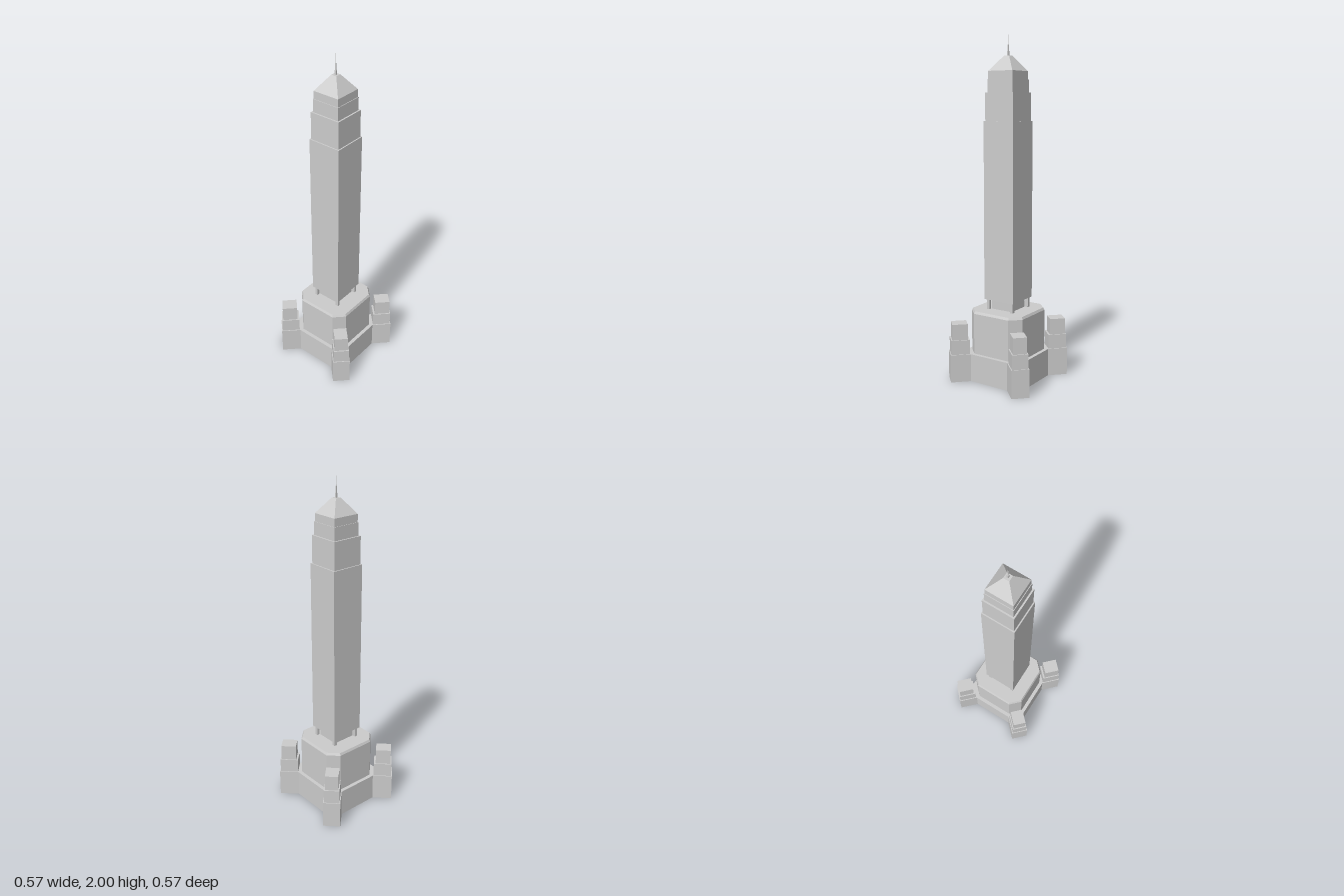
import * as THREE from 'three';

const material = new THREE.MeshStandardMaterial({ color: 0xcccccc, flatShading: true });

// Block from y0 to y1, w wide (x) and d deep (z), centred on x, z
function block(name, y0, y1, w, d = w, x = 0, z = 0) {
  const mesh = new THREE.Mesh(new THREE.BoxGeometry(w, y1 - y0, d), material);
  mesh.name = name;
  mesh.position.set(x, (y0 + y1) / 2, z);
  return mesh;
}

// Square frustum with half-widths r0 (bottom) and r1 (top)
function squareFrustum(name, y0, y1, r0, r1) {
  const geometry = new THREE.CylinderGeometry(r1 * Math.SQRT2, r0 * Math.SQRT2, y1 - y0, 4);
  geometry.rotateY(Math.PI / 4);
  const mesh = new THREE.Mesh(geometry, material);
  mesh.name = name;
  mesh.position.y = (y0 + y1) / 2;
  return mesh;
}

// Square of half-width r with corners cut off at c
function cutSquare(r, c) {
  return new THREE.Shape([
    [r, -c], [r, c], [c, r], [-c, r], [-r, c], [-r, -c], [-c, -r], [c, -r],
  ].map(([x, y]) => new THREE.Vector2(x, y)));
}

export function createModel() {
  const model = new THREE.Group();
  model.name = 'tower';

  // Square plinth
  model.add(block('plinth', 0, 0.165, 0.402));

  // Octagonal podium with a bevelled top edge
  const podiumGeometry = new THREE.ExtrudeGeometry(cutSquare(0.172, 0.117), {
    depth: 0.25, bevelEnabled: true, bevelThickness: 0.014, bevelSize: 0.007, bevelSegments: 1,
  });
  podiumGeometry.rotateX(-Math.PI / 2);
  const podium = new THREE.Mesh(podiumGeometry, material);
  podium.name = 'podium';
  podium.position.y = 0.156;
  model.add(podium);

  // Stepped buttresses on the diagonals: bottom, top, inner and outer reach, width
  const steps = [
    [0, 0.165, 0.16, 0.351, 0.103],
    [0.165, 0.25, 0.237, 0.346, 0.092],
    [0.25, 0.345, 0.248, 0.339, 0.079],
  ];
  for (let i = 0; i < 4; i++) {
    const buttress = new THREE.Group();
    buttress.name = 'cornerButtress';
    for (const [y0, y1, inner, outer, width] of steps) {
      buttress.add(block('buttressStep', y0, y1, outer - inner, width, (inner + outer) / 2));
    }
    buttress.rotation.y = Math.PI / 4 + i * Math.PI / 2;
    model.add(buttress);
  }

  // Recessed neck with a post under each shaft corner
  model.add(block('neck', 0.42, 0.48, 0.14));
  for (const x of [-1, 1]) {
    for (const z of [-1, 1]) {
      model.add(block('neckPost', 0.42, 0.48, 0.018, 0.018, x * 0.082, z * 0.082));
    }
  }

  // Shaft, stepping in toward the top
  const tiers = [
    [0.48, 1.52, 0.202], [1.52, 1.68, 0.188], [1.68, 1.755, 0.17], [1.755, 1.8, 0.163],
  ];
  for (const [y0, y1, width] of tiers) model.add(block('shaftTier', y0, y1, width));

  // Pyramid roof and needle
  model.add(squareFrustum('roof', 1.8, 1.885, 0.0815, 0.017));
  model.add(block('needleBase', 1.885, 1.91, 0.01));
  model.add(block('needle', 1.91, 1.947, 0.005));
  model.add(squareFrustum('needleTip', 1.947, 2, 0.001, 0.0004));

  return model;
}
